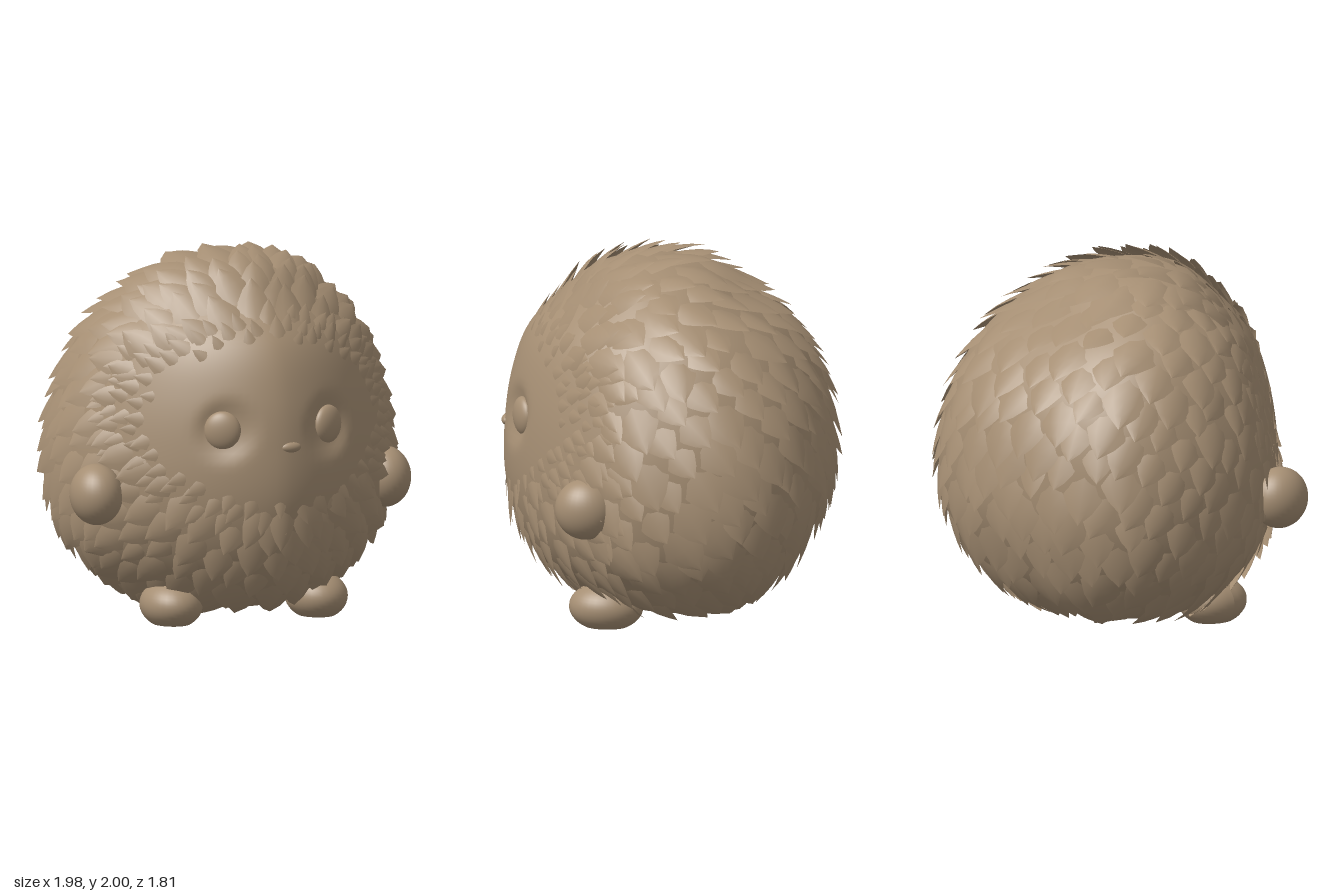
import * as THREE from 'three';
import { mergeGeometries, mergeVertices } from 'three/addons/utils/BufferGeometryUtils.js';

const fur = new THREE.MeshStandardMaterial({ color: 0xa58e73, side: THREE.DoubleSide });
fur.name = 'warm brown fur';

const CX = 0.015; // slight sideways offset of the body
const heart = new THREE.Vector3(CX, 0.95, 0.03);

// half width, front depth and back depth, bottom to top
const profile = new THREE.CatmullRomCurve3([
  [0, 0, 0], [0.43, 0.42, 0.33], [0.65, 0.67, 0.56], [0.84, 0.83, 0.71], [0.92, 0.92, 0.81],
  [0.92, 0.93, 0.82], [0.85, 0.88, 0.77], [0.725, 0.76, 0.63], [0.52, 0.53, 0.41],
  [0.3, 0.31, 0.25], [0, 0, 0],
].map((p) => new THREE.Vector3(...p)), false, 'catmullrom', 0.5);

const section = (v) => profile.getPoint(THREE.MathUtils.clamp(v, 0, 1));
const sectionZ = (v) => -0.05 + 0.15 * Math.max(0, 2 * v - 1) ** 1.5;
const power = (s) => (s > 0 ? 1.68 : 2.5); // pointed front, broad back

// point on the body: v runs bottom to top, a runs around (front at PI / 2)
function surf(v, a) {
  const k = section(v);
  const c = Math.cos(a), s = Math.sin(a), n = power(s);
  const r = (Math.abs(c) ** n + Math.abs(s) ** n) ** (-1 / n);
  return new THREE.Vector3(
    CX + k.x * c * r,
    0.04 + 0.95 * (1 - Math.cos(Math.PI * v)),
    sectionZ(v) + (s > 0 ? k.y : k.z) * s * r);
}

function normalAt(v, a) {
  const e = 0.01;
  const dv = surf(v + e, a).sub(surf(v - e, a));
  const da = surf(v, a + e).sub(surf(v, a - e));
  return dv.cross(da).normalize();
}

function inside(q) {
  const h = 1 - (q.y - 0.04) / 0.95;
  if (Math.abs(h) >= 1) return false;
  const v = Math.acos(h) / Math.PI, k = section(v);
  const z = q.z - sectionZ(v), n = power(z);
  return (Math.abs(q.x - CX) / k.x) ** n + (Math.abs(z) / (z > 0 ? k.y : k.z)) ** n < 1;
}

// moves a point in or out from the heart of the body onto its skin
function drape(q) {
  let lo = 0.6, hi = 1.4;
  for (let i = 0; i < 12; i++) {
    const m = (lo + hi) / 2;
    if (inside(heart.clone().lerp(q, m))) lo = m; else hi = m;
  }
  return heart.clone().lerp(q, lo);
}

// sheet of rows x cols quads whose points come from fn(u, t)
function sheet(rows, cols, fn) {
  const pos = [], idx = [];
  for (let i = 0; i <= rows; i++)
    for (let j = 0; j <= cols; j++) pos.push(...fn(i / rows, j / cols).toArray());
  for (let i = 0; i < rows; i++)
    for (let j = 0; j < cols; j++) {
      const p = i * (cols + 1) + j, q = p + cols + 1;
      idx.push(p, q, p + 1, p + 1, q, q + 1);
    }
  const g = new THREE.BufferGeometry();
  g.setAttribute('position', new THREE.Float32BufferAttribute(pos, 3));
  g.setIndex(idx);
  return g;
}

let seed = 7;
const rand = () => (seed = (seed * 16807) % 2147483647) / 2147483647;

const eyes = [-1, 1].map((s) => new THREE.Vector3(CX + s * 0.3, 1.11, 0.79));
const faceCentre = new THREE.Vector3(CX, 1.15, 0.85);

// bare oval of the face: 1 on its rim, more outside it
const faceDist = (p) => (p.z < 0.2 ? 9
  : Math.hypot((p.x - CX) / 0.6, (p.y - 1.14) / (p.y > 1.14 ? 0.38 : 0.36)));

// leaf-shaped lock of fur that hugs the body and lifts at its pointed tip
function lock(v, a, len, wide, lift) {
  const p = surf(v, a), n = normalAt(v, a);
  const d = p.clone().sub(faceCentre).normalize(); // fur flows away from the face
  d.y -= 1.1 * THREE.MathUtils.smoothstep(0.5 - p.z, 0, 0.6); // and down the back
  d.addScaledVector(n, -d.dot(n)).normalize();
  d.applyAxisAngle(n, (rand() - 0.5) * 0.5);
  const side = n.clone().cross(d);
  const rise = lift * (1 + 0.5 * THREE.MathUtils.smoothstep(p.y, 1.5, 1.9)) // ruffled crown
    * THREE.MathUtils.smoothstep(faceDist(p), 0.6, 1.25); // sleek by the face
  const g = sheet(6, 4, (u, t) => {
    const k = 2 * t - 1;
    const x = k * wide * (1 - u ** 2.1) * (0.65 + 0.85 * u);
    const h = -0.025 + (rise + 0.025) * u ** 1.1 - 0.3 * wide * k * k * (1 - u);
    const q = p.clone().addScaledVector(d, (u - 0.4) * len).addScaledVector(side, x);
    return drape(q).addScaledVector(n, h);
  });
  g.computeVertexNormals();
  return g;
}

// evenly spread locks over the part of the body that the filter accepts
function coat(count, accept, size) {
  const locks = [];
  for (let i = 0; i < count; i++) {
    const v = Math.acos(1 - (2 * (i + 0.5)) / count) / Math.PI;
    const a = i * 2.39996;
    const p = surf(v, a);
    if (p.y < 0.13 || !accept(p)) continue;
    const k = 0.75 + 0.5 * rand();
    locks.push(lock(v, a, size[0] * k, size[1] * k, size[2]));
  }
  return mergeGeometries(locks);
}

export function createModel() {
  const model = new THREE.Group();
  const add = (name, geometry, pos = [0, 0, 0], scale = [1, 1, 1]) => {
    const m = new THREE.Mesh(geometry, fur);
    m.name = name;
    m.position.set(...pos);
    m.scale.set(...scale);
    model.add(m);
    return m;
  };

  // body with shallow eye sockets
  const body = mergeVertices(sheet(80, 128, (v, t) => {
    const p = surf(v, (t % 1) * Math.PI * 2);
    for (const e of eyes) p.z -= 0.045 * Math.exp(-((p.distanceTo(e) / 0.14) ** 4));
    return p;
  }), 1e-4);
  body.computeVertexNormals();
  add('body', body);

  // fine locks round the face, broader ones behind
  add('faceFur', coat(1300, (p) => faceDist(p) > 1 && faceDist(p) < 1.4, [0.24, 0.055, 0.03]));
  add('frontFur', coat(520, (p) => p.z >= 0.2 && faceDist(p) >= 1.25, [0.33, 0.105, 0.045]));
  add('backFur', coat(380, (p) => p.z < 0.2 + 0.2 * rand() && faceDist(p) > 1.35,
    [0.42, 0.15, 0.045]));
  add('chinTuft', mergeGeometries([-0.14, 0, 0.14].map(
    (o) => lock(0.385, Math.PI / 2 + o, 0.34, 0.09, 0.055))));

  // eyes, arms and feet, mirrored
  const ball = new THREE.SphereGeometry(1, 32, 24);
  [-1, 1].forEach((s, i) => {
    const side = s > 0 ? 'left' : 'right';
    const eye = add(side + 'Eye', ball, [eyes[i].x, 1.11, 0.735], [0.1, 0.105, 0.05]);
    eye.rotation.y = s * 0.5;
    add(side + 'Arm', ball, [s * 0.825 - 0.025, 0.735, 0.325], [0.14, 0.165, 0.165]);

    // foot with a flattened sole
    const foot = new THREE.SphereGeometry(1, 32, 24);
    const pos = foot.attributes.position;
    for (let j = 0; j < pos.count; j++) pos.setY(j, Math.max(pos.getY(j), -0.8));
    foot.computeVertexNormals();
    add(side + 'Foot', foot, [s * 0.415 + CX, 0.106, 0.27], [0.165, 0.132, 0.2]);
  });

  add('nose', ball, [CX + 0.04, 1.02, 0.862], [0.06, 0.03, 0.03]);
  return model;
}
